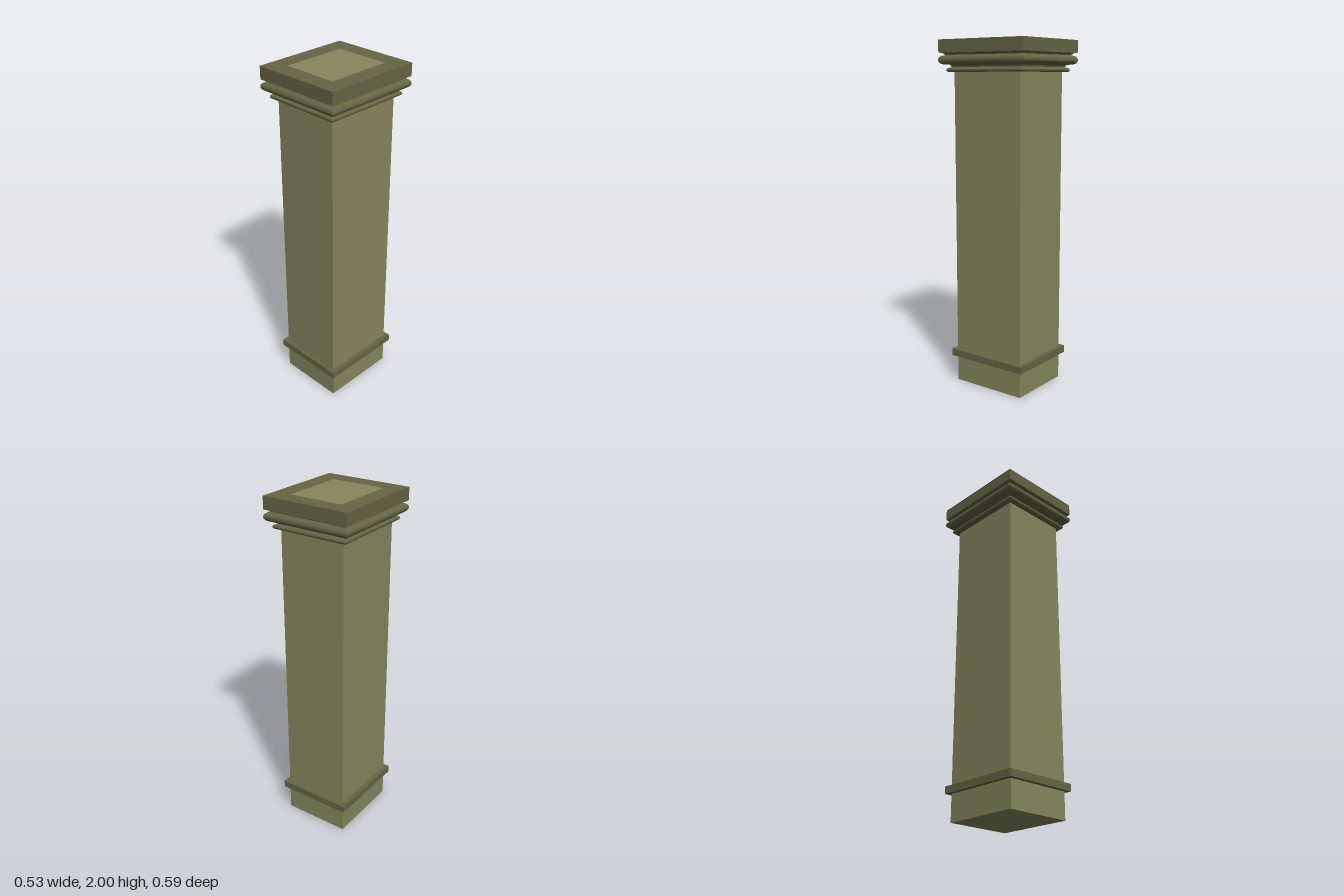
import * as THREE from 'three';

const light = new THREE.MeshStandardMaterial({ color: 0x86875d });
light.name = 'light olive';
const dark = new THREE.MeshStandardMaterial({ color: 0x666545 });
dark.name = 'dark olive';

const EXTRA_DEPTH = 0.03; // the plan is deeper than wide by this much per side

// Sweeps a [half width, height] profile around the rectangular plan with mitred corners
function moulding(name, profile) {
  const signs = [[1, 1], [1, -1], [-1, -1], [-1, 1]];
  const point = ([w, y], [sx, sz]) => [sx * w, y, sz * (w + EXTRA_DEPTH)];
  const positions = [];
  for (let i = 0; i < profile.length - 1; i++) {
    for (let k = 0; k < 4; k++) {
      const a = point(profile[i], signs[k]);
      const b = point(profile[i], signs[(k + 1) % 4]);
      const c = point(profile[i + 1], signs[(k + 1) % 4]);
      const d = point(profile[i + 1], signs[k]);
      positions.push(...a, ...b, ...c, ...a, ...c, ...d);
    }
  }
  const geometry = new THREE.BufferGeometry();
  geometry.setAttribute('position', new THREE.Float32BufferAttribute(positions, 3));
  geometry.computeVertexNormals();
  const mesh = new THREE.Mesh(geometry, dark);
  mesh.name = name;
  return mesh;
}

// Rounded bead between two heights
function bead(inner, outer, y0, y1, steps = 8) {
  return Array.from({ length: steps + 1 }, (_, i) => {
    const t = (i / steps) * Math.PI;
    return [
      inner + (outer - inner) * Math.sin(t),
      (y0 + y1) / 2 - Math.cos(t) * (y1 - y0) / 2,
    ];
  });
}

function block(name, halfWidth, y0, y1) {
  const geometry = new THREE.BoxGeometry(halfWidth * 2, y1 - y0, (halfWidth + EXTRA_DEPTH) * 2);
  const mesh = new THREE.Mesh(geometry, light);
  mesh.name = name;
  mesh.position.y = (y0 + y1) / 2;
  return mesh;
}

export function createModel() {
  const group = new THREE.Group();
  group.name = 'pillar';
  group.add(
    block('shaft', 0.199, 0, 1.95),
    block('topPanel', 0.162, 1.95, 2),
    // Flat band near the foot
    moulding('baseBand', [[0.19, 0.155], [0.224, 0.155], [0.224, 0.196], [0.19, 0.196]]),
    // Stacked mouldings of the capital
    moulding('lowerBead', [[0.195, 1.823], [0.222, 1.823], ...bead(0.222, 0.231, 1.823, 1.845), [0.21, 1.85]]),
    moulding('neck', [[0.21, 1.848], [0.213, 1.858], [0.222, 1.864]]),
    moulding('upperBead', [[0.215, 1.862], ...bead(0.238, 0.264, 1.864, 1.914), [0.235, 1.917]]),
    moulding('cove', [[0.235, 1.912], [0.238, 1.92], [0.248, 1.928]]),
    moulding('capSlab', [[0.23, 1.928], [0.262, 1.928], [0.262, 2], [0.162, 2]]),
  );
  return group;
}
